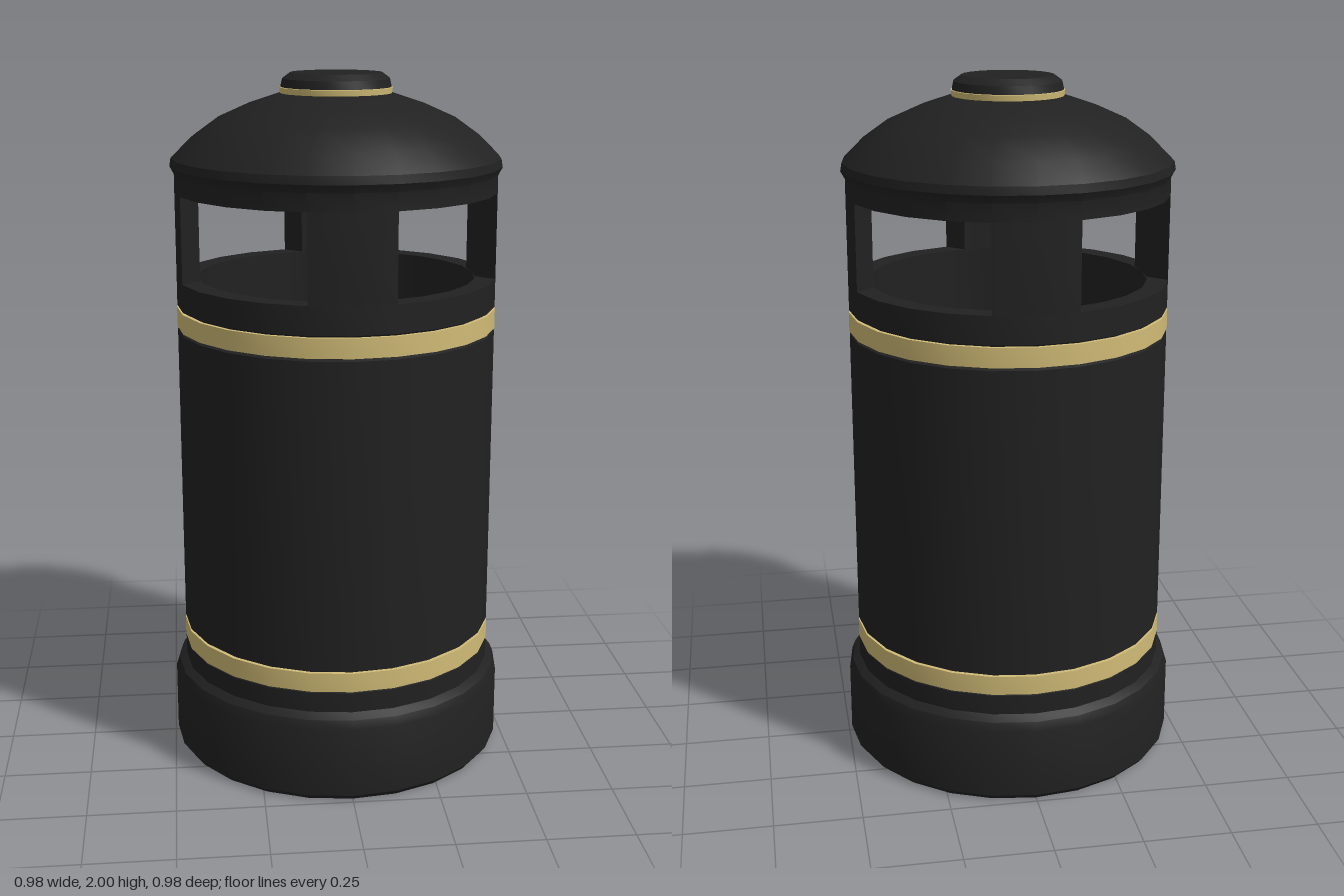
import * as THREE from 'three';
import { toCreasedNormals } from 'three/addons/utils/BufferGeometryUtils.js';

const SIDES = 24;
const R = 0.46;        // outer wall radius
const R_IN = 0.4;      // inner wall radius
const SILL = 1.425;    // bottom of the openings
const HEAD = 1.67;     // top of the openings

export function createModel() {
  const black = new THREE.MeshStandardMaterial({ color: 0x212121 });
  black.name = 'black';
  const gold = new THREE.MeshStandardMaterial({ color: 0xd0bb76 });
  gold.name = 'gold';

  const group = new THREE.Group();
  group.name = 'litterBin';

  const add = (name, geometry, material, crease = 0.5) => {
    const mesh = new THREE.Mesh(toCreasedNormals(geometry, crease), material);
    mesh.name = name;
    group.add(mesh);
    return mesh;
  };
  // Profiles run up the outside, then down the inside
  const lathe = (name, points, material) =>
    add(name, new THREE.LatheGeometry(points.map(([x, y]) => new THREE.Vector2(x, y)), SIDES), material);

  // Plinth, open underneath with a recessed floor
  lathe('base', [
    [0, 0.17], [0.44, 0.17], [0.45, 0], [0.48, 0], [0.492, 0.015], [0.492, 0.22],
    [0.482, 0.245], [R, 0.26], [R, 0.318], [0.45, 0.322],
  ], black);

  // Main drum with a hollow inside
  lathe('drum', [
    [0.45, 0.32], [0.45, 0.38], [R, 0.385], [R, 1.275], [0.45, 1.28], [0.45, 1.34],
    [R, 1.345], [R, SILL], [R_IN, SILL], [R_IN, 0.2], [0, 0.2],
  ], black);

  // Gold bands
  for (const [name, y] of [['lowerBand', 0.322], ['upperBand', 1.283]]) {
    lathe(name, [[0.449, y], [0.461, y], [0.461, y + 0.056], [0.449, y + 0.056]], gold);
  }

  // Four pillars between the openings
  const at = (r, deg) => {
    const a = THREE.MathUtils.degToRad(deg);
    return new THREE.Vector2(r * Math.cos(a), r * Math.sin(a));
  };
  for (let i = 0; i < 4; i++) {
    const c = i * 90;
    const shape = new THREE.Shape([
      at(R, c - 15), at(R, c), at(R, c + 15),
      at(R_IN, c + 9.9), at(R_IN, c), at(R_IN, c - 9.9),
    ]);
    const pillar = new THREE.ExtrudeGeometry(shape, { depth: HEAD - SILL, bevelEnabled: false });
    pillar.rotateX(-Math.PI / 2).translate(0, SILL, 0);
    add('pillar', pillar, black);
  }

  // Domed lid with its lower collar and a hollow underside
  lathe('lid', [
    [R_IN, HEAD], [R, HEAD], [R, 1.72], [0.472, 1.742], [0.468, 1.765], [0.41, 1.822],
    [0.34, 1.872], [0.25, 1.912], [0.16, 1.942], [0, 1.942],
  ], black);
  lathe('lidUnderside', [[0, 1.88], [0.2, 1.86], [0.33, 1.8], [R_IN, 1.73], [R_IN, HEAD]], black);

  // Cap on top with a thin gold ring below it
  lathe('capRing', [[0.158, 1.938], [0.16, 1.958], [0.14, 1.962]], gold);
  lathe('cap', [[0.14, 1.957], [0.157, 1.959], [0.152, 1.982], [0.13, 1.998], [0, 2]], black);

  return group;
}
